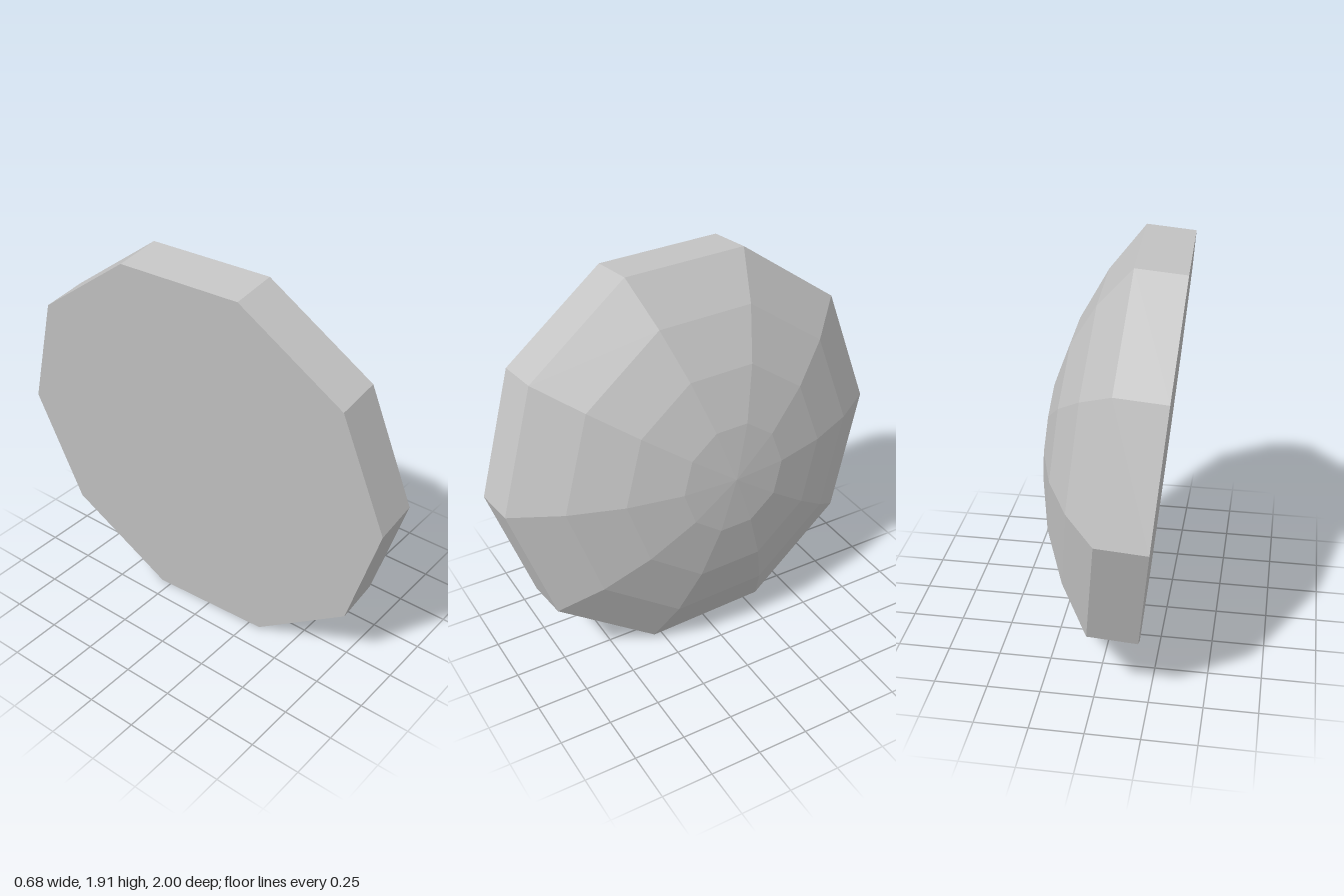
import * as THREE from 'three';

const SIDES = 10;
const RIM_RADIUS = 0.995;
const RIM_DEPTH = 0.23;
const DOME_ANGLE = 0.66; // half-angle of the spherical cap

// Give every facet its own normal
function faceted(geometry) {
  const flat = geometry.toNonIndexed();
  flat.computeVertexNormals();
  return flat;
}

export function createModel() {
  const grey = new THREE.MeshStandardMaterial({ color: 0xc4c4c4 });
  grey.name = 'grey';

  const model = new THREE.Group();
  model.name = 'facetedDome';
  const add = (name, geometry) => {
    const mesh = new THREE.Mesh(faceted(geometry), grey);
    mesh.name = name;
    model.add(mesh);
  };

  // Straight rim band, below the dome along the local y axis
  const rim = new THREE.CylinderGeometry(RIM_RADIUS, RIM_RADIUS, RIM_DEPTH, SIDES, 1, true);
  add('rim', rim.translate(0, -RIM_DEPTH / 2, 0));

  // Flat back
  const back = new THREE.CircleGeometry(RIM_RADIUS, SIDES);
  add('back', back.rotateX(Math.PI / 2).rotateY(Math.PI / 2).translate(0, -RIM_DEPTH, 0));

  // Shallow spherical cap in four rings
  const sphereRadius = RIM_RADIUS / Math.sin(DOME_ANGLE);
  const dome = new THREE.SphereGeometry(sphereRadius, SIDES, 4, 0, Math.PI * 2, 0, DOME_ANGLE);
  add('dome', dome.rotateY(Math.PI / 2).translate(0, -sphereRadius * Math.cos(DOME_ANGLE), 0));

  // Point the dome towards +x with a slight tilt, corners kept along z
  const axis = new THREE.Vector3(1, 0.101, -0.043).normalize();
  const side = new THREE.Vector3(0, 0, 1).addScaledVector(axis, -axis.z).normalize();
  const across = new THREE.Vector3().crossVectors(axis, side);
  model.quaternion.setFromRotationMatrix(new THREE.Matrix4().makeBasis(across, axis, side));
  model.position.set(-0.005, 0.965, -0.005);

  const root = new THREE.Group();
  root.add(model);
  return root;
}
